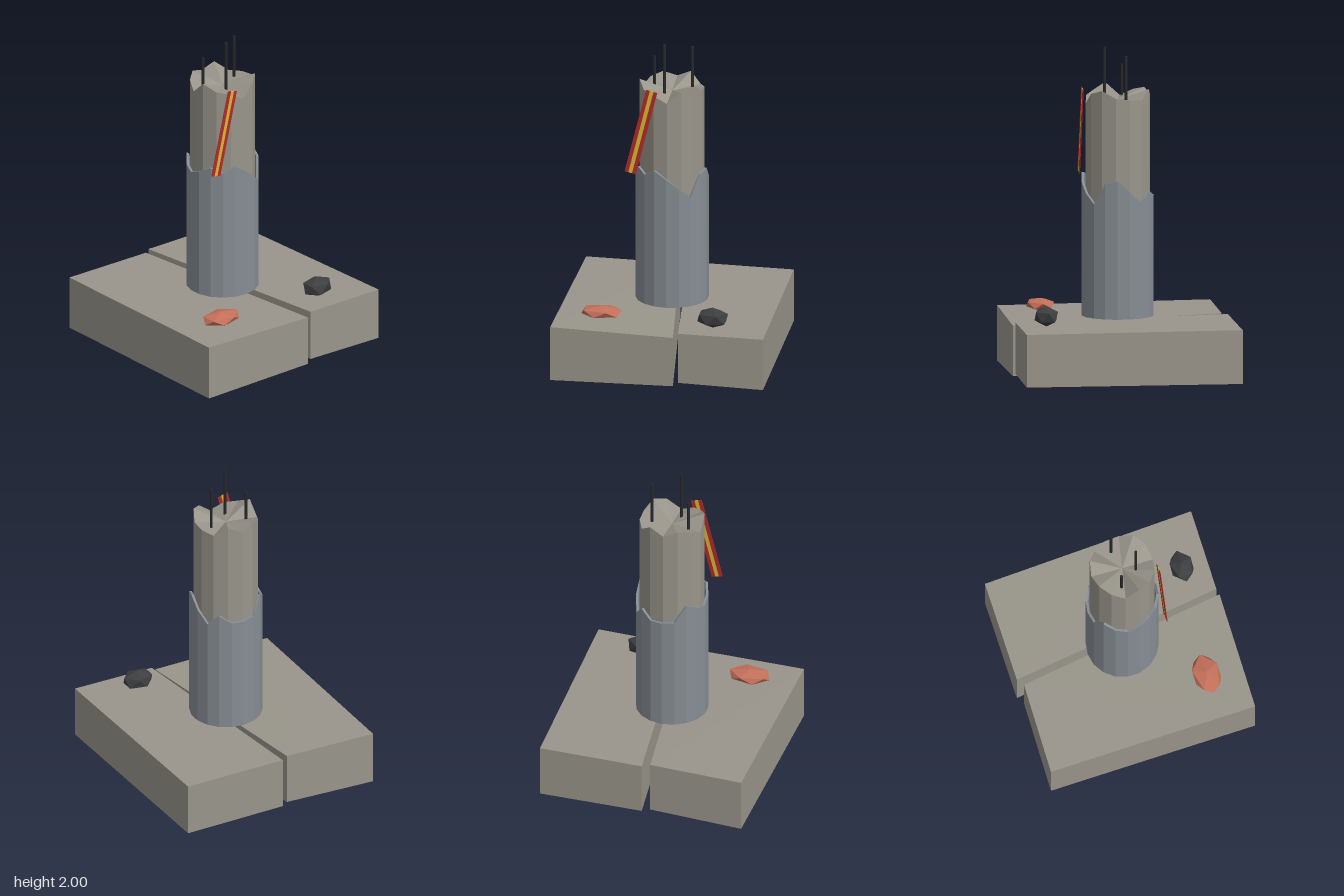
import * as THREE from 'three';
import { ConvexGeometry } from 'three/addons/geometries/ConvexGeometry.js';

const CX = -0.014; // axis of the pillar

const mat = (color) => new THREE.MeshStandardMaterial({ color, flatShading: true, side: THREE.DoubleSide });

function add(group, name, geometry, material, x = 0, y = 0, z = 0) {
  const mesh = new THREE.Mesh(geometry, material);
  mesh.name = name;
  mesh.position.set(x, y, z);
  group.add(mesh);
  return mesh;
}

// Slab from four [x, z] corners, each with its own bottom and top height
function slab(corners) {
  return new ConvexGeometry(corners.flatMap(([x, z, bottom, top]) => [
    new THREE.Vector3(x, bottom, z), new THREE.Vector3(x, top, z),
  ]));
}

// Skin between rings of equal point count; rings are closed loops
function loft(rings) {
  const n = rings[0].length, index = [];
  for (let r = 0; r < rings.length - 1; r++) {
    for (let i = 0; i < n; i++) {
      const a = r * n + i, b = r * n + (i + 1) % n;
      index.push(a, b, b + n, a, b + n, a + n);
    }
  }
  const geometry = new THREE.BufferGeometry();
  geometry.setAttribute('position', new THREE.Float32BufferAttribute(rings.flat(2), 3));
  geometry.setIndex(index);
  geometry.computeVertexNormals();
  return geometry;
}

// Ring around the axis, starting at the front and turning towards +x
const ring = (radius, heights) => heights.map((y, i) => {
  const a = (i / heights.length) * Math.PI * 2;
  return [radius * Math.sin(a), y, radius * Math.cos(a)];
});

// Pole-aligned icosahedron stretched into a pebble
function rock(sx, sy, sz) {
  const points = [new THREE.Vector3(0, sy, 0), new THREE.Vector3(0, -sy, 0)];
  for (let i = 0; i < 10; i++) {
    const a = (i * Math.PI) / 5, h = i % 2 ? -0.447 : 0.447;
    points.push(new THREE.Vector3(0.894 * Math.cos(a) * sx, h * sy, 0.894 * Math.sin(a) * sz));
  }
  return new ConvexGeometry(points);
}

export function createModel() {
  const group = new THREE.Group();
  const concrete = mat(0x99958b);
  const steel = mat(0x868d93);
  const dark = mat(0x26282a);
  const red = mat(0xb02a2c);

  // Cracked base in two slightly tilted halves
  add(group, 'baseSlabRight', slab([
    [-0.655, -0.68, 0.01, 0.345], [-0.07, -0.65, 0.02, 0.345],
    [0.1, 0.665, 0.015, 0.325], [-0.66, 0.63, 0.0, 0.34],
  ]), concrete);
  add(group, 'baseSlabLeft', slab([
    [-0.025, -0.68, 0.02, 0.345], [0.625, -0.66, 0.01, 0.34],
    [0.655, 0.675, 0.025, 0.348], [0.13, 0.655, 0.035, 0.35],
  ]), concrete);

  // Steel sleeve with a torn upper rim and real wall thickness
  const torn = [1.18, 1.12, 1.06, 1.19, 1.21, 1.14, 1.07, 1.14, 1.09,
    1.09, 1.1, 1.21, 1.17, 1.15, 1.18, 1.22, 1.19, 1.23];
  const foot = torn.map(() => 0.36);
  add(group, 'sleeve', loft([
    ring(0.222, foot), ring(0.222, torn), ring(0.207, torn), ring(0.207, foot), ring(0.222, foot),
  ]), steel, CX);

  // Broken concrete core
  const broken = [1.66, 1.73, 1.755, 1.71, 1.7, 1.69, 1.75, 1.71, 1.74, 1.72, 1.68, 1.76, 1.72, 1.7];
  const low = broken.map(() => 0.36);
  add(group, 'core', loft([
    ring(0, low), ring(0.198, low), ring(0.198, broken), ring(0, broken.map(() => 1.68)),
  ]), concrete, CX);

  // Reinforcing bars sticking out of the break
  for (const [x, z, top] of [[-0.13, -0.045, 1.88], [0.105, -0.03, 1.96], [-0.05, 0.075, 2]]) {
    const length = top - 1.5;
    add(group, 'reinforcingBar', new THREE.CylinderGeometry(0.009, 0.009, length, 8), dark, x, top - length / 2, z);
  }

  // Leaning striped strip
  const strip = new THREE.Group();
  strip.name = 'stripedStrip';
  strip.position.set(-0.173, 1.473, 0.201);
  strip.rotation.z = -0.245;
  const stripe = new THREE.BoxGeometry(0.0235, 0.545, 0.004);
  [red, mat(0xd9b82e), red].forEach((m, i) => add(strip, 'stripe', stripe, m, (i - 1) * 0.0235));
  group.add(strip);

  // Loose stones on the base
  add(group, 'brickFragment', rock(0.14, 0.038, 0.094), mat(0xc4705a), -0.38, 0.383, 0.415);
  add(group, 'darkStone', rock(0.106, 0.064, 0.079), mat(0x3d3e40), 0.317, 0.411, 0.497);

  return group;
}
